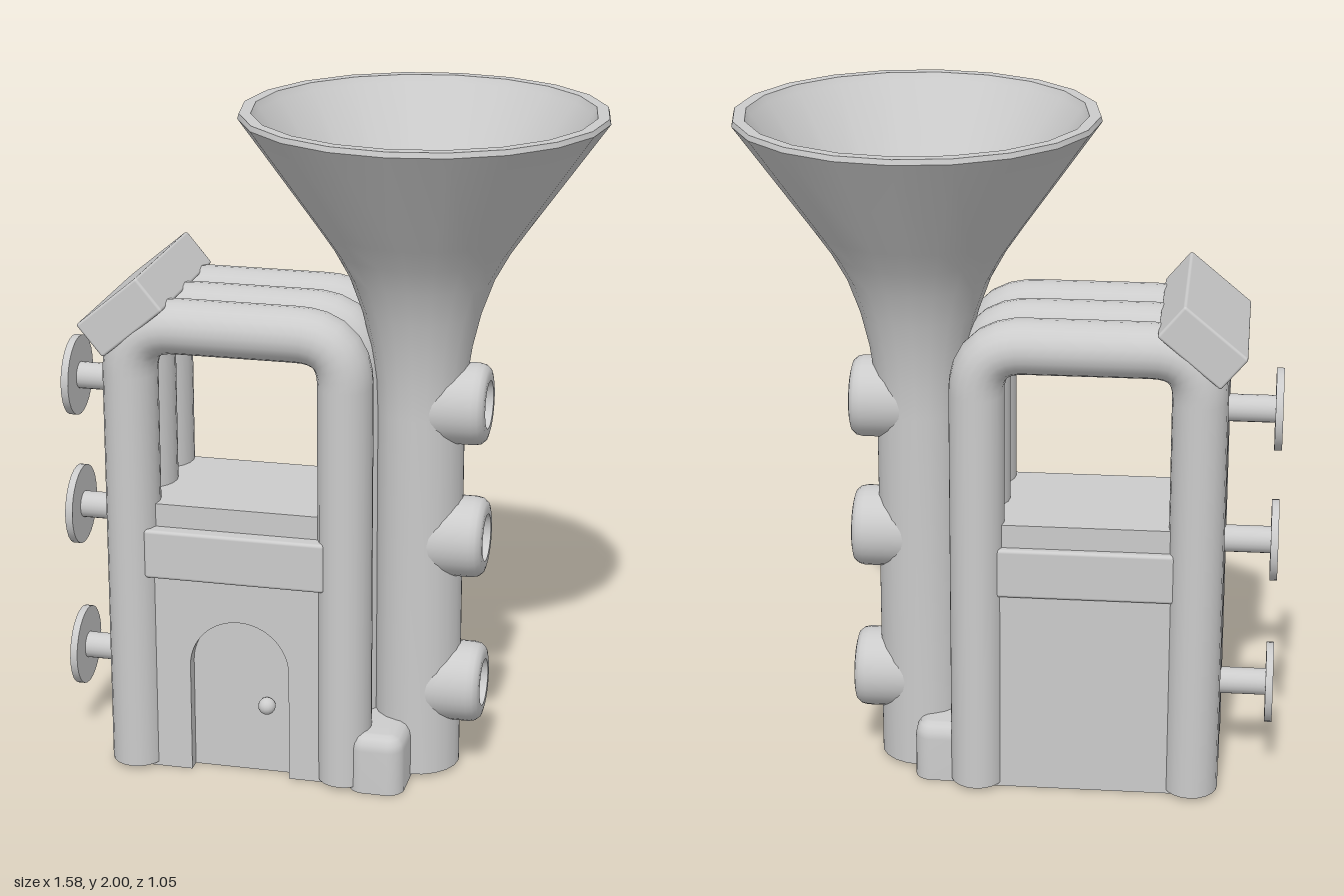
import * as THREE from 'three';
import { RoundedBoxGeometry } from 'three/addons/geometries/RoundedBoxGeometry.js';
import { toCreasedNormals } from 'three/addons/utils/BufferGeometryUtils.js';

// Double-sided because the pipes, horn, house and foot are open underneath
const material = new THREE.MeshStandardMaterial({ color: 0xcccccc, side: THREE.DoubleSide });
const V3 = (x, y, z = 0) => new THREE.Vector3(x, y, z);

function add(parent, name, geometry, x = 0, y = 0, z = 0) {
  const mesh = new THREE.Mesh(geometry, material);
  mesh.name = name;
  mesh.position.set(x, y, z);
  parent.add(mesh);
  return mesh;
}

// Turned shape from [radius, height] pairs
function lathe(points, sides, start = 0) {
  return new THREE.LatheGeometry(points.map(([r, y]) => new THREE.Vector2(r, y)), sides, start);
}

// Box without its bottom face, standing on y = 0
function openBox(w, h, d) {
  const g = new THREE.BoxGeometry(w, h, d).translate(0, h / 2, 0);
  const index = Array.from(g.index.array);
  index.splice(18, 6);
  g.setIndex(index);
  g.clearGroups();
  return g;
}

// Rounded post pulled apart into a block with rounded corners and an open base
function footGeometry(w, d) {
  const profile = [[0.05, 0], [0.05, 0.135], [0.046, 0.155], [0.035, 0.171], [0.018, 0.179], [0.008, 0.18], [0, 0.18]];
  const g = lathe(profile, 24, Math.PI / 24);
  const p = g.attributes.position;
  for (let i = 0; i < p.count; i++) {
    p.setX(i, p.getX(i) + Math.sign(p.getX(i)) * (w / 2 - 0.05));
    p.setZ(i, p.getZ(i) + Math.sign(p.getZ(i)) * (d / 2 - 0.05));
  }
  return g;
}

// Arched pipe centreline: up, over and down with rounded corners
function archCurve(left, right, top, bend) {
  const path = new THREE.CurvePath();
  const a = V3(left, 0.012), b = V3(left, top - bend), c = V3(left + bend, top);
  const d = V3(right - bend, top), e = V3(right, top - bend), f = V3(right, 0.012);
  path.add(new THREE.LineCurve3(a, b));
  path.add(new THREE.QuadraticBezierCurve3(b, V3(left, top), c));
  path.add(new THREE.LineCurve3(c, d));
  path.add(new THREE.QuadraticBezierCurve3(d, V3(right, top), e));
  path.add(new THREE.LineCurve3(e, f));
  return path;
}

export function createModel() {
  const model = new THREE.Group();
  model.name = 'hornHouse';

  // Flared horn: outer wall with rim, and a smooth inner funnel
  const horn = new THREE.Group();
  horn.name = 'horn';
  horn.position.x = 0.265;
  model.add(horn);
  const outer = lathe([
    [0.128, 0.01], [0.128, 1.12], [0.133, 1.22], [0.148, 1.32], [0.172, 1.42],
    [0.208, 1.52], [0.252, 1.6], [0.3, 1.67], [0.523, 1.985], [0.519, 2], [0.486, 2],
  ], 20, Math.PI / 2);
  add(horn, 'hornWall', toCreasedNormals(outer, 0.7));
  add(horn, 'hornFunnel', lathe([
    [0.486, 2], [0.475, 1.98], [0.27, 1.68], [0.22, 1.6], [0.18, 1.52], [0.145, 1.43], [0, 1.38],
  ].reverse(), 20, Math.PI / 2));

  // Three arched pipes side by side
  const arch = new THREE.TubeGeometry(archCurve(-0.555, 0.081, 1.377, 0.14), 96, 0.08, 20);
  for (const z of [-0.18, 0, 0.18]) {
    add(model, 'archPipe', arch, 0, 0, z).scale.z = 1.1;
  }

  // Tilted block on the pipe bend
  const block = add(model, 'mouthBlock', new RoundedBoxGeometry(0.236, 0.12, 0.53, 2, 0.008), -0.56, 1.415);
  block.rotation.z = 0.695;

  // House body with a recessed doorway in its front wall
  const house = new THREE.Group();
  house.name = 'house';
  house.position.x = -0.24;
  model.add(house);
  add(house, 'houseBody', openBox(0.58, 0.77, 0.4), 0, 0, -0.02);
  const wall = new THREE.Shape();
  wall.moveTo(0.16, 0);
  wall.lineTo(0.29, 0);
  wall.lineTo(0.29, 0.77);
  wall.lineTo(-0.29, 0.77);
  wall.lineTo(-0.29, 0);
  wall.lineTo(-0.14, 0);
  wall.lineTo(-0.14, 0.34);
  wall.absarc(0.01, 0.34, 0.15, Math.PI, 0, true);
  const front = new THREE.ExtrudeGeometry(wall, { depth: 0.04, bevelEnabled: false, curveSegments: 20 });
  add(house, 'frontWall', toCreasedNormals(front, 0.5), 0, 0, 0.18);
  add(house, 'doorKnob', new THREE.SphereGeometry(0.026, 16, 12), 0.088, 0.222, 0.2);
  add(house, 'trimBand', new RoundedBoxGeometry(0.54, 0.15, 0.485, 2, 0.01), 0.003, 0.695, 0.01);
  add(house, 'roofSlab', new THREE.BoxGeometry(0.54, 0.08, 0.42), 0, 0.8, 0);

  // Valves at three heights: flat buttons on one side, hollow knobs on the other
  const rod = new THREE.CylinderGeometry(0.04, 0.04, 0.18, 20).rotateZ(Math.PI / 2);
  const disc = new THREE.CylinderGeometry(0.12, 0.12, 0.022, 28).rotateZ(Math.PI / 2);
  const knobProfile = [
    [0.12, 0], [0.12, 0.165], [0.116, 0.183], [0.105, 0.196], [0.09, 0.2],
    [0.07, 0.2], [0.07, 0.165], [0, 0.165],
  ];
  const knob = toCreasedNormals(lathe(knobProfile, 28), 0.7).rotateZ(-Math.PI / 2);
  for (const y of [0.275, 0.738, 1.148]) {
    const valve = new THREE.Group();
    valve.name = 'valve';
    valve.position.y = y;
    model.add(valve);
    add(valve, 'valveRod', rod, -0.69);
    add(valve, 'valveButton', disc, -0.779);
    add(valve, 'valveKnob', knob, 0.265);
  }

  // Rounded foot running through the horn base from front to back
  add(model, 'hornFoot', footGeometry(0.165, 0.47), 0.1875, 0, 0.03);

  return model;
}
